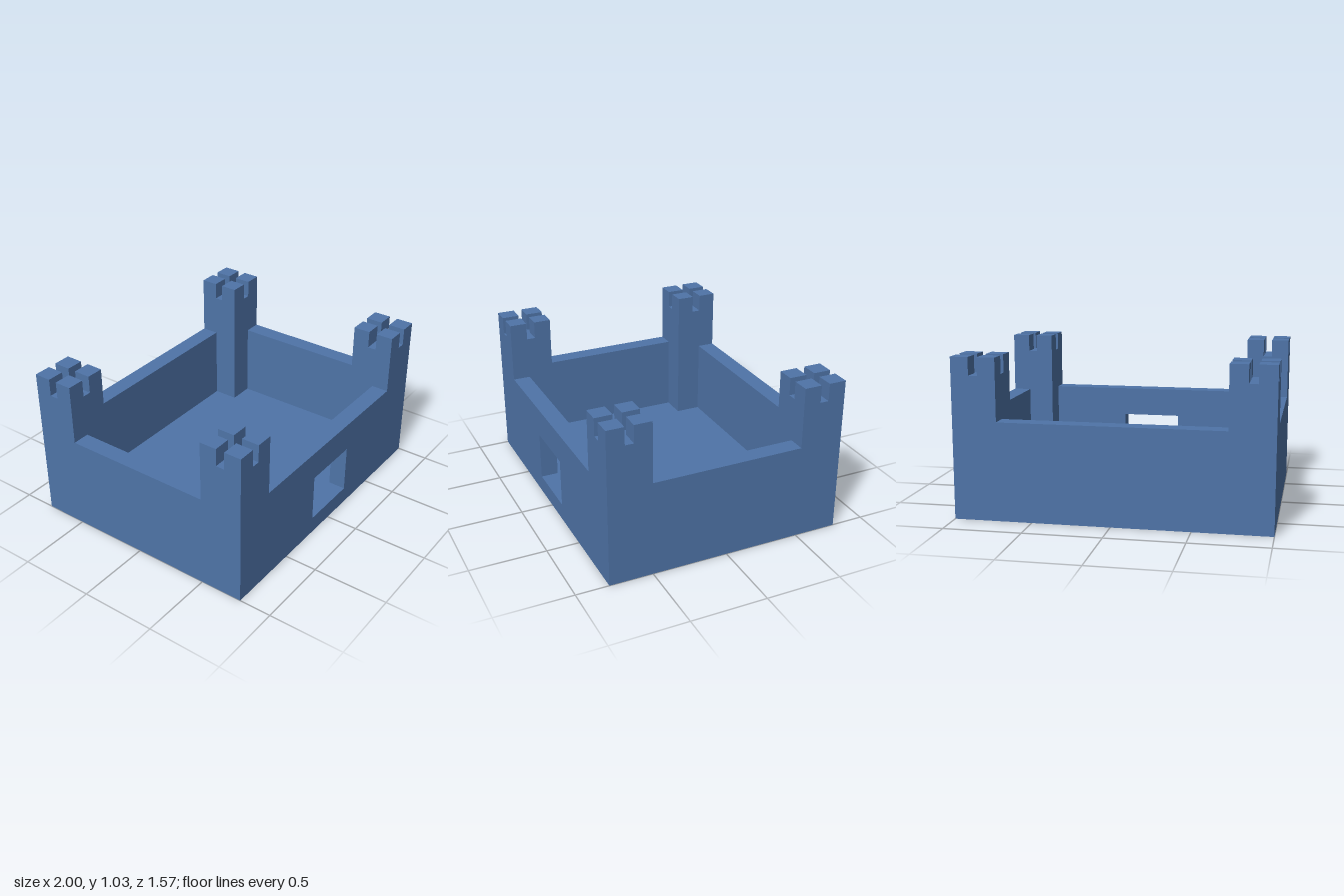
import * as THREE from 'three';

const W = 1, D = 0.785;          // half width and half depth
const FLOOR = 0.115, WALL = 0.63, NOTCH = 0.915, TOP = 1.03;
const THICK = 0.115, TOWER = 0.285, MERLON = 0.114;

export function createModel() {
  const model = new THREE.Group();
  model.name = 'castle';
  const material = new THREE.MeshStandardMaterial({ color: 0x4f74a8, flatShading: true });

  const add = (parent, name, geometry) => {
    const mesh = new THREE.Mesh(geometry, material);
    mesh.name = name;
    parent.add(mesh);
    return mesh;
  };
  // Box given by its centre in plan and its bottom and top heights
  const block = (parent, name, x, z, w, d, y0, y1) =>
    add(parent, name, new THREE.BoxGeometry(w, y1 - y0, d)).position.set(x, (y0 + y1) / 2, z);

  // Floor slab
  block(model, 'floor', 0, 0, 2 * W, 2 * D, 0, FLOOR);

  // Side and back walls, running between the towers
  const spanX = W - TOWER, spanZ = D - TOWER;
  block(model, 'leftWall', W - THICK / 2, 0, THICK, 2 * spanZ, FLOOR, WALL);
  block(model, 'rightWall', -W + THICK / 2, 0, THICK, 2 * spanZ, FLOOR, WALL);
  block(model, 'backWall', 0, -D + THICK / 2, 2 * spanX, THICK, FLOOR, WALL);

  // Front wall with the gate opening, which reaches down to the floor
  const front = new THREE.Shape([
    [-spanX, FLOOR], [-0.2, FLOOR], [-0.2, 0.435], [0.2, 0.435],
    [0.2, FLOOR], [spanX, FLOOR], [spanX, WALL], [-spanX, WALL],
  ].map(([x, y]) => new THREE.Vector2(x, y)));
  add(model, 'frontWall', new THREE.ExtrudeGeometry(front, { depth: THICK, bevelEnabled: false }))
    .position.z = D - THICK;

  // Four corner towers, each topped by four merlons
  for (const sx of [-1, 1]) for (const sz of [-1, 1]) {
    const tower = new THREE.Group();
    tower.name = `${sz > 0 ? 'front' : 'back'}${sx > 0 ? 'Left' : 'Right'}Tower`;
    tower.position.set(sx * (W - TOWER / 2), 0, sz * (D - TOWER / 2));
    block(tower, 'shaft', 0, 0, TOWER, TOWER, FLOOR, NOTCH);
    const m = (TOWER - MERLON) / 2;
    for (const mx of [-m, m]) for (const mz of [-m, m])
      block(tower, 'merlon', mx, mz, MERLON, MERLON, NOTCH, TOP);
    model.add(tower);
  }
  return model;
}
